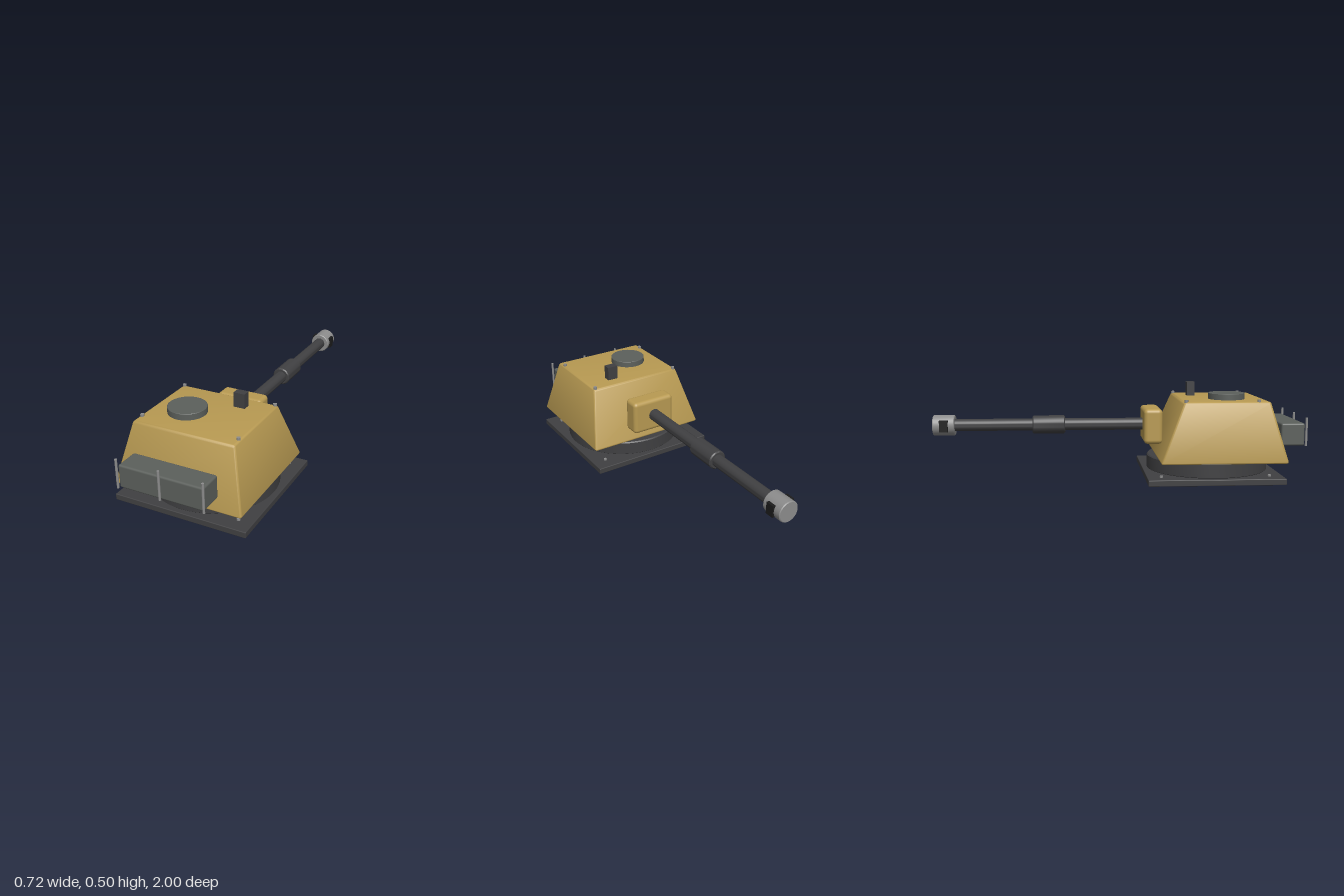
import * as THREE from 'three';
import { RoundedBoxGeometry } from 'three/addons/geometries/RoundedBoxGeometry.js';
import { mergeVertices, toCreasedNormals } from 'three/addons/utils/BufferGeometryUtils.js';

const mat = (color) => new THREE.MeshStandardMaterial({ color });
const tan = mat(0xb89a52), dark = mat(0x404042), grey = mat(0x5c605c);
const steel = mat(0x8c8c8c), black = mat(0x1c1c1c);

export function createModel() {
  const model = new THREE.Group();

  function add(name, geometry, material, x = 0, y = 0, z = 0) {
    const mesh = new THREE.Mesh(geometry, material);
    mesh.name = name;
    mesh.position.set(x, y, z);
    model.add(mesh);
    return mesh;
  }

  // Closed cylinder along y with a small chamfer on both rims
  function drum(radius, height, chamfer, sides = 48) {
    const h = height / 2, c = chamfer;
    const profile = [[0, -h], [radius - c, -h], [radius, c - h], [radius, h - c], [radius - c, h], [0, h]]
      .map(([r, y]) => new THREE.Vector2(r, y));
    return toCreasedNormals(new THREE.LatheGeometry(profile, sides), 0.6);
  }

  // Base plate and turret ring
  add('basePlate', new RoundedBoxGeometry(0.718, 0.033, 0.718, 2, 0.004), dark, 0, 0.0165, 0.5);
  add('turretRing', drum(0.332, 0.08, 0.006, 64), dark, 0, 0.07, 0.5);

  // Turret: rounded box tapered towards a smaller, rearward roof
  const bottom = 0.108, top = 0.424, height = top - bottom;
  let hull = new RoundedBoxGeometry(2, height, 2, 3, 0.012);
  const pos = hull.attributes.position;
  const inset = 0.012; // keeps the corner radius the same after scaling
  for (let i = 0; i < pos.count; i++) {
    const t = pos.getY(i) / height + 0.5;
    const halfX = THREE.MathUtils.lerp(0.346, 0.272, t);
    const halfZ = THREE.MathUtils.lerp(0.334, 0.227, t);
    const midZ = THREE.MathUtils.lerp(0.54, 0.561, t);
    const fit = (v, half) => Math.sign(v) * (half - (1 - Math.abs(v)));
    pos.setX(i, fit(pos.getX(i), halfX));
    pos.setZ(i, midZ + fit(pos.getZ(i), halfZ));
  }
  hull.deleteAttribute('normal');
  hull.deleteAttribute('uv');
  hull = toCreasedNormals(mergeVertices(hull, 1e-5), 0.6);
  add('turretHull', hull, tan, 0, (bottom + top) / 2, 0);

  // Roof hatch and periscope
  add('roofHatch', drum(0.098, 0.045, 0.002), grey, -0.092, 0.4345, 0.588);
  add('periscope', new THREE.BoxGeometry(0.06, 0.085, 0.043), dark, 0.113, 0.4585, 0.423);

  // Bolts on the roof and base plate
  for (const side of [-1, 1]) {
    for (const z of [0.345, 0.727])
      add('roofBolt', new THREE.CylinderGeometry(0.01, 0.01, 0.016, 8), steel, side * 0.259, 0.427, z);
    for (const z of [0.215, 0.785])
      add('baseBolt', new THREE.CylinderGeometry(0.009, 0.009, 0.014, 8), steel, side * 0.285, 0.035, z);
  }

  // Storage bin with three upright rods
  add('storageBin', new RoundedBoxGeometry(0.448, 0.12, 0.127, 3, 0.01), grey, 0, 0.243, 0.924);
  for (const x of [-0.227, 0, 0.227])
    add('binRod', new THREE.CylinderGeometry(0.0065, 0.0065, 0.152, 10), steel, x, 0.259, 0.9935);

  // Gun: mantlet, barrel, sleeve and muzzle brake
  const gunY = 0.278;
  add('mantlet', new RoundedBoxGeometry(0.254, 0.19, 0.1, 4, 0.022), tan, 0, 0.276, 0.19);
  const along = (name, radius, z0, z1, chamfer, material) => {
    add(name, drum(radius, Math.abs(z1 - z0), chamfer, 32), material, 0, gunY, (z0 + z1) / 2).rotation.x = -Math.PI / 2;
  };
  along('barrel', 0.033, 0.2, -0.9, 0.001, dark);
  along('barrelSleeve', 0.05, -0.285, -0.463, 0.006, dark);
  along('muzzleBrake', 0.056, -0.883, -1, 0.004, steel);
  for (const side of [-1, 1])
    add('muzzlePort', new THREE.BoxGeometry(0.022, 0.062, 0.046), black, side * 0.051, gunY, -0.938);

  return model;
}
